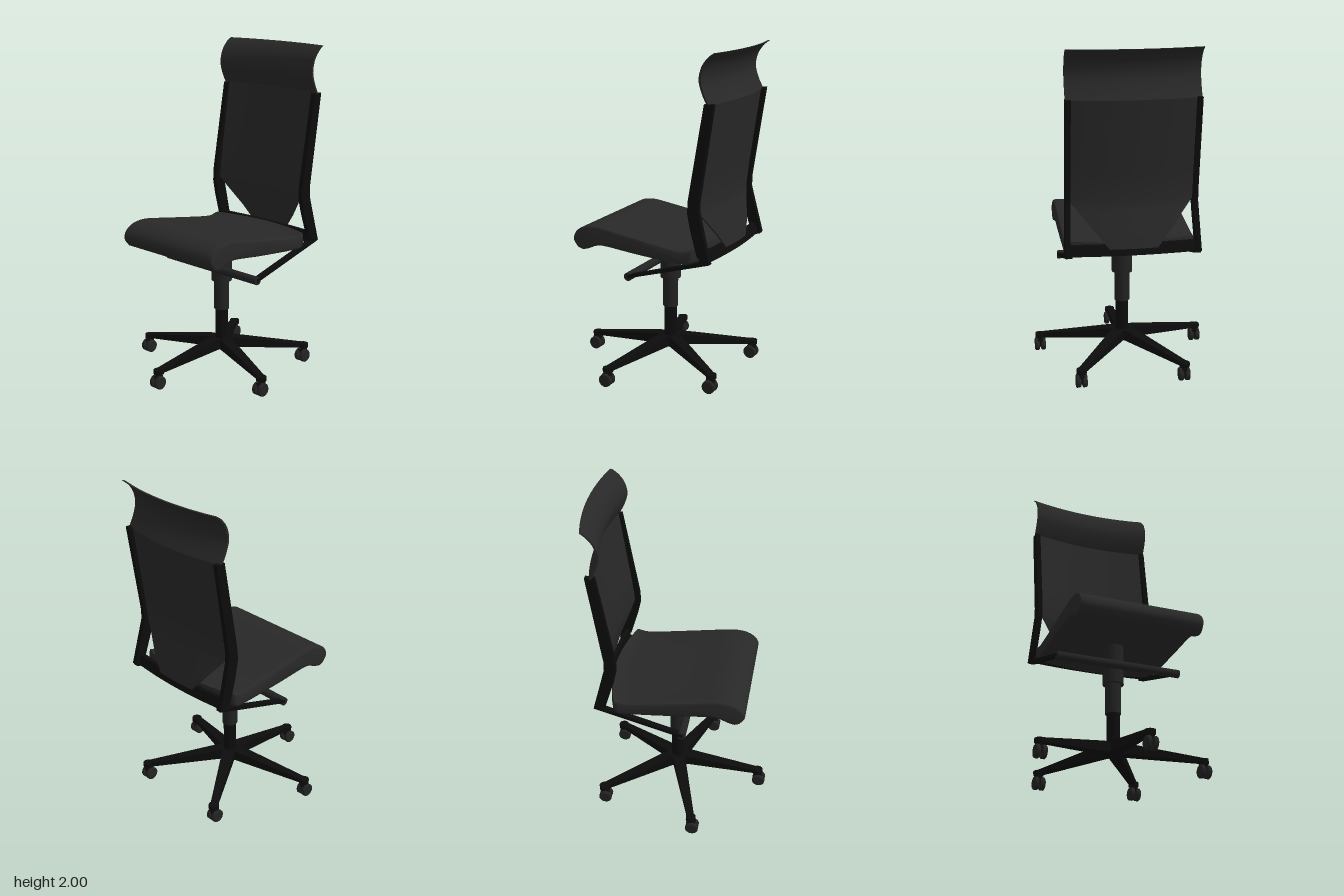
import * as THREE from 'three';
import { toCreasedNormals } from 'three/addons/utils/BufferGeometryUtils.js';

const fabric = new THREE.MeshStandardMaterial({ color: 0x282828 });
const frame = new THREE.MeshStandardMaterial({ color: 0x0c0c0c });
const plastic = new THREE.MeshStandardMaterial({ color: 0x222222 });
const HALF = 0.385;
const AXIS_Z = -0.03;

export function createModel() {
  const chair = new THREE.Group();
  chair.name = 'officeChair';

  function add(name, geometry, material, x = 0, y = 0, z = 0, parent = chair) {
    const mesh = new THREE.Mesh(geometry, material);
    mesh.name = name;
    mesh.position.set(x, y, z);
    parent.add(mesh);
    return mesh;
  }

  // Sweeps a side profile of [z, y] points across x; rule(p) may bend each vertex
  function sweep(profile, width, { steps = 1, bevel = 0, rule = null } = {}) {
    const shape = new THREE.Shape(profile.map(([z, y]) => new THREE.Vector2(z, y)));
    const depth = width - 2 * bevel;
    const geo = new THREE.ExtrudeGeometry(shape, {
      depth, steps, bevelEnabled: bevel > 0, bevelThickness: bevel,
      bevelSize: bevel, bevelOffset: -bevel, bevelSegments: 2,
    });
    geo.translate(0, 0, -depth / 2).rotateY(-Math.PI / 2);
    if (rule) {
      const pos = geo.attributes.position;
      const p = new THREE.Vector3();
      for (let i = 0; i < pos.count; i++) {
        p.fromBufferAttribute(pos, i);
        rule(p);
        pos.setXYZ(i, p.x, p.y, p.z);
      }
    }
    return toCreasedNormals(geo, 0.7);
  }

  // Closed thin profile following a line of [z, y] points
  const thin = (line, t) => [...line, ...line.map(([z, y]) => [z - t, y]).reverse()];
  const smooth = (points, n) => new THREE.SplineCurve(points.map(([z, y]) => new THREE.Vector2(z, y)))
    .getPoints(n).map((p) => [p.x, p.y]);
  const bow = (x, amount) => amount * (1 - (x / HALF) ** 2);

  // Seat cushion: waterfall front edge, rear edge bowed backwards
  const seatTop = smooth([[0.4, 0.795], [0.43, 0.84], [0.415, 0.89], [0.36, 0.928], [0.28, 0.94],
    [0.18, 0.928], [0, 0.9], [-0.2, 0.87], [-0.29, 0.862], [-0.35, 0.875]], 36);
  const seatBottom = smooth([[-0.355, 0.83], [-0.345, 0.795], [-0.29, 0.782], [0, 0.802], [0.2, 0.822],
    [0.27, 0.82], [0.33, 0.795], [0.37, 0.785]], 24);
  add('seat', sweep([...seatTop, ...seatBottom], HALF * 2, {
    steps: 18, bevel: 0.014,
    rule: (p) => {
      const rear = THREE.MathUtils.clamp((0.1 - p.z) / 0.45, 0, 1);
      p.z -= bow(p.x, 0.065) * rear;
    },
  }), fabric);

  // Back panel: bowed sheet narrowing towards the seat
  const backLine = [[-0.415, 0.85], [-0.4, 0.94], [-0.365, 1.06], [-0.355, 1.12], [-0.375, 1.28], [-0.44, 1.72]];
  add('backPanel', sweep(thin(backLine, 0.012), 0.72, {
    steps: 18,
    rule: (p) => {
      p.x *= THREE.MathUtils.mapLinear(Math.min(p.y, 1.12), 0.85, 1.12, 0.14, 0.36) / 0.36;
      p.z -= bow(p.x, 0.045);
    },
  }), fabric);

  // Headrest: curls forward, then flares back at the top
  const headLine = smooth([[-0.445, 1.715], [-0.413, 1.78], [-0.395, 1.85], [-0.41, 1.92],
    [-0.445, 1.97], [-0.483, 2.0]], 20);
  add('headrest', sweep(thin(headLine, 0.013), HALF * 2, {
    steps: 18, rule: (p) => { p.z -= bow(p.x, 0.045); },
  }), fabric);

  // Lower cross rail joining the two uprights behind the seat
  add('rearCrossRail', sweep([[-0.405, 0.872], [-0.43, 0.872], [-0.45, 0.812], [-0.405, 0.8]], 0.76, {
    steps: 18, rule: (p) => { p.z -= bow(p.x, 0.025); },
  }), frame);

  // Bent uprights and the support arms running forward beneath the seat
  const upright = [[-0.428, 1.72], [-0.332, 1.16], [-0.33, 1.09], [-0.35, 1.0], [-0.395, 0.85], [-0.44, 0.81],
    [-0.472, 0.815], [-0.425, 1.0], [-0.4, 1.1], [-0.4, 1.16], [-0.485, 1.72]];
  const arm = [[0.06, 0.673], [0.06, 0.652], [-0.47, 0.808], [-0.465, 0.83]];
  for (const side of [-1, 1]) {
    add('backUpright', sweep(upright, 0.03, {
      rule: (p) => { p.x += side * (0.37 + 0.012 * THREE.MathUtils.clamp((1.1 - p.y) / 0.3, 0, 1)); },
    }), frame);
    add('supportArm', sweep(arm, 0.036), frame, side * 0.373);
  }
  add('frontCrossBar', new THREE.CylinderGeometry(0.025, 0.025, 0.78, 20).rotateZ(Math.PI / 2), plastic, 0, 0.662, 0.055);

  // Telescopic column: [name, radius, bottom, top, material]
  for (const [name, r, y0, y1, mat] of [
    ['columnHousing', 0.063, 0.565, 0.81, plastic],
    ['columnSleeve', 0.047, 0.38, 0.57, plastic],
    ['columnTube', 0.039, 0.13, 0.385, frame],
  ]) add(name, new THREE.CylinderGeometry(r, r, y1 - y0, 32), mat, 0, (y0 + y1) / 2, AXIS_Z);

  // Five-star base with tapered legs
  add('baseHub', new THREE.CylinderGeometry(0.062, 0.05, 0.06, 30), frame, 0, 0.162, AXIS_Z);
  const leg = [[0, 0.132], [0.08, 0.128], [0.53, 0.095], [0.55, 0.1], [0.55, 0.116], [0.09, 0.19], [0, 0.192]];
  for (let i = 0; i < 5; i++) {
    const angle = (i * Math.PI * 2) / 5;
    const legMesh = add('baseLeg', sweep(leg, 0.08, {
      rule: (p) => { p.x *= 1 - 0.5 * (p.z / 0.55); },
    }), frame, 0, 0, AXIS_Z);
    legMesh.rotation.y = angle;

    // Twin-wheel caster
    const caster = new THREE.Group();
    caster.name = 'caster';
    caster.position.set(Math.sin(angle) * 0.525, 0, AXIS_Z + Math.cos(angle) * 0.525);
    chair.add(caster);
    add('casterCap', new THREE.CylinderGeometry(0.031, 0.031, 0.026, 20), frame, 0, 0.105, 0, caster);
    add('casterStem', new THREE.CylinderGeometry(0.014, 0.014, 0.05, 12), frame, 0, 0.08, 0, caster);
    add('casterHood', new THREE.BoxGeometry(0.03, 0.05, 0.05), frame, 0, 0.055, 0.005, caster);
    const rim = [[0, -0.014], [0.035, -0.014], [0.04, -0.009], [0.04, 0.009], [0.035, 0.014], [0, 0.014]];
    for (const side of [-1, 1]) {
      const wheel = new THREE.LatheGeometry(rim.map(([r, y]) => new THREE.Vector2(r, y)), 24).rotateZ(Math.PI / 2);
      add('casterWheel', toCreasedNormals(wheel, 0.6), plastic, side * 0.019, 0.041, 0.008, caster);
    }
  }
  return chair;
}
